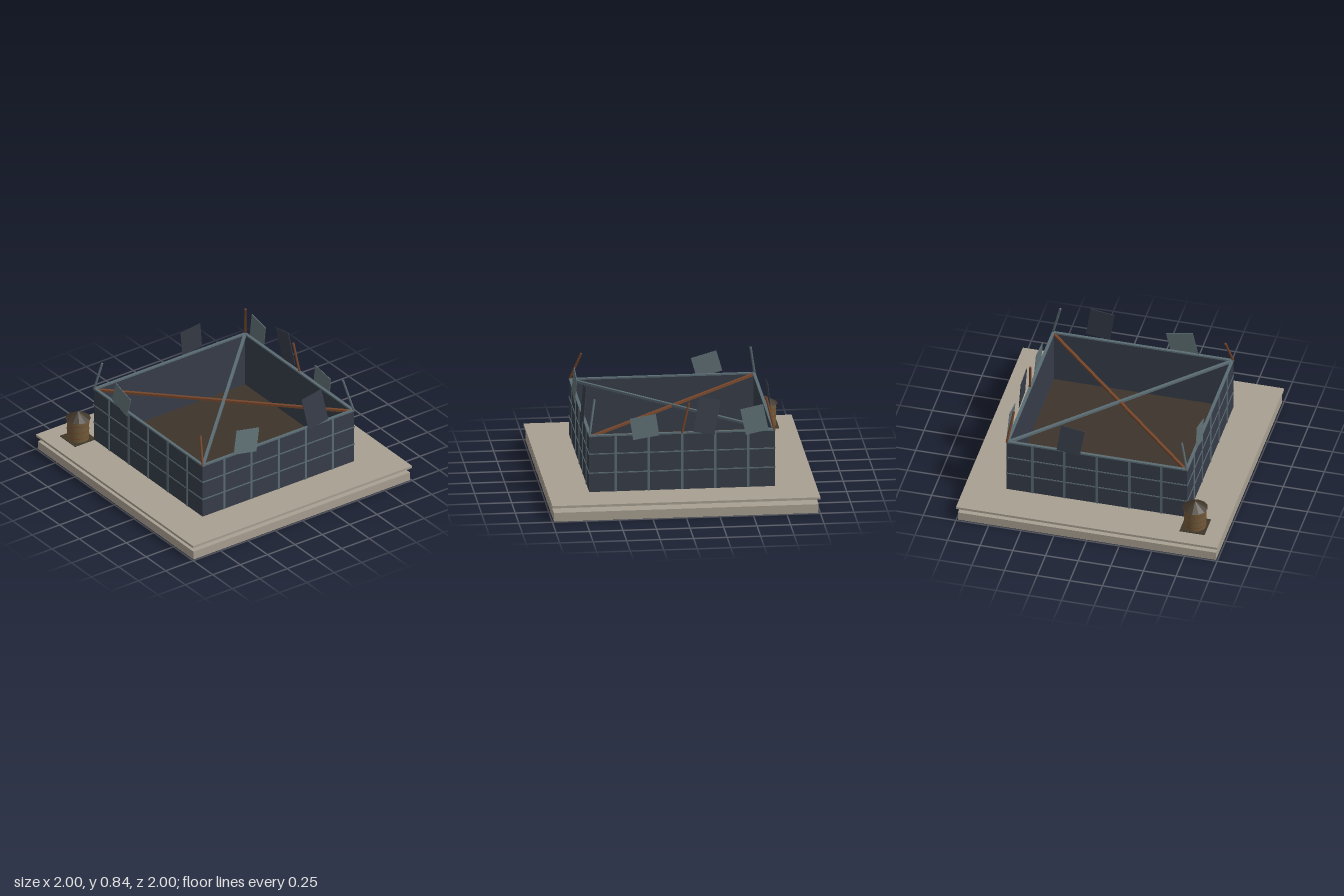
import * as THREE from 'three';

const mat = (name, color, extra = {}) =>
  Object.assign(new THREE.MeshStandardMaterial({ color, ...extra }), { name });

export function createModel() {
  const M = {
    concrete: mat('concrete', 0xa89f91),
    wall: mat('dark wall', 0x363c48),
    steel: mat('weathered steel', 0x5a6b72),
    sheet: mat('pale sheet', 0x607175),
    rust: mat('rust', 0x74452a),
    floor: mat('dark earth floor', 0x3d342b),
    wood: mat('tank wood', 0x705a3a),
    roof: mat('tank roof', 0x40362a, { flatShading: true }),
  };
  const model = new THREE.Group();
  model.name = 'walledCompound';

  const add = (parent, name, geometry, material, x = 0, y = 0, z = 0) => {
    const mesh = new THREE.Mesh(geometry, material);
    mesh.name = name;
    mesh.position.set(x, y, z);
    parent.add(mesh);
    return mesh;
  };
  const box = (parent, name, w, h, d, material, x, y, z) =>
    add(parent, name, new THREE.BoxGeometry(w, h, d), material, x, y, z);
  // Round bar between two points
  const bar = (parent, name, a, b, r, material) => {
    const p = new THREE.Vector3(...a), q = new THREE.Vector3(...b);
    const dir = q.clone().sub(p);
    const mesh = add(parent, name, new THREE.CylinderGeometry(r, r, dir.length(), 8), material);
    mesh.position.copy(p).add(q).multiplyScalar(0.5);
    mesh.quaternion.setFromUnitVectors(new THREE.Vector3(0, 1, 0), dir.normalize());
    return mesh;
  };

  // Ground slabs and inner floor
  box(model, 'foundation', 1.976, 0.068, 1.976, M.concrete, 0, 0.034, 0);
  box(model, 'groundSlab', 2, 0.018, 2, M.concrete, 0, 0.116, 0);
  box(model, 'innerFloor', 1.37, 0.006, 1.37, M.floor, 0, 0.127, 0);

  // Loose sheets per wall: x, y, width, height, roll in degrees, lean in degrees, material
  const sheets = [
    [[-0.333, 0.638, 0.198, 0.165, -16, 2, M.sheet]],
    [[-0.296, 0.642, 0.209, 0.19, -11, 4, M.sheet],
      [0.329, 0.698, 0.185, 0.262, 9.5, 6, M.wall]],
    [[0.54, 0.65, 0.174, 0.2, 11.6, 3, M.sheet],
      [0.185, 0.69, 0.163, 0.265, -10.6, 6, M.wall],
      [-0.28, 0.619, 0.197, 0.165, 8.7, 3, M.sheet]],
    [[-0.2, 0.672, 0.18, 0.22, -8, 5, M.wall]],
  ];
  const rad = THREE.MathUtils.degToRad;

  // Four walls, each built facing +z and turned into place
  ['front', 'left', 'back', 'right'].forEach((side, i) => {
    const g = new THREE.Group();
    g.name = side + 'Wall';
    g.rotation.y = (i * Math.PI) / 2;
    model.add(g);
    box(g, 'wallPanel', 1.384, 0.436, 0.012, M.wall, 0, 0.343, 0.686);
    box(g, 'topRail', 1.392, 0.012, 0.022, M.steel, 0, 0.562, 0.685);
    for (const x of [-0.495, -0.248, 0, 0.248, 0.495])
      box(g, 'verticalRib', 0.018, 0.432, 0.006, M.steel, x, 0.341, 0.694);
    for (const y of [0.273, 0.421])
      box(g, 'horizontalRib', 1.39, 0.009, 0.005, M.steel, 0, y, 0.6935);
    for (const [x, y, w, h, roll, lean, m] of sheets[i]) {
      const s = box(g, 'looseSheet', w, h, 0.005, m, x, y, 0.696);
      s.rotation.set(-rad(lean), 0, rad(roll));
    }
  });

  // Diagonal beams across the open top
  for (const [s, m] of [[1, M.steel], [-1, M.rust]]) {
    const beam = box(model, 'crossBeam', 1.94, 0.018, 0.022, m, 0, s > 0 ? 0.557 : 0.553, 0);
    beam.rotation.y = (-s * Math.PI) / 4;
  }

  // Leaning poles at the corners and the back edge
  const poles = [
    [-0.69, -0.69, -0.632, 0.81, -0.65, M.rust],
    [0.69, -0.69, 0.645, 0.825, -0.622, M.steel],
    [0.69, 0.69, 0.608, 0.77, 0.652, M.rust],
    [-0.69, 0.69, -0.655, 0.78, 0.642, M.steel],
    [0, -0.69, -0.055, 0.79, -0.672, M.rust],
  ];
  for (const [x, z, tx, ty, tz, m] of poles)
    bar(model, 'leaningPole', [x, 0.56, z], [tx, ty, tz], 0.009, m);

  // Water tank with platform, hoops, conical roof and legs
  const tank = new THREE.Group();
  tank.name = 'waterTank';
  tank.position.set(-0.777, 0, 0.775);
  model.add(tank);
  box(tank, 'platform', 0.192, 0.008, 0.192, M.roof, 0, 0.126, 0);
  add(tank, 'barrel', new THREE.CylinderGeometry(0.083, 0.083, 0.17, 24), M.wood, 0, 0.213, 0);
  for (const y of [0.16, 0.21, 0.26])
    add(tank, 'hoop', new THREE.CylinderGeometry(0.0845, 0.0845, 0.005, 24), M.rust, 0, y, 0);
  add(tank, 'roof', new THREE.ConeGeometry(0.096, 0.057, 12), M.roof, 0, 0.3255, 0);
  for (const z of [-0.062, 0.062]) {
    for (const s of [-1, 1]) {
      box(tank, 'leg', 0.01, 0.1, 0.01, M.steel, s * 0.062, 0.072, z);
      bar(tank, 'brace', [s * 0.062, 0.108, z], [-s * 0.062, 0.03, z], 0.002, M.steel);
    }
  }
  return model;
}
